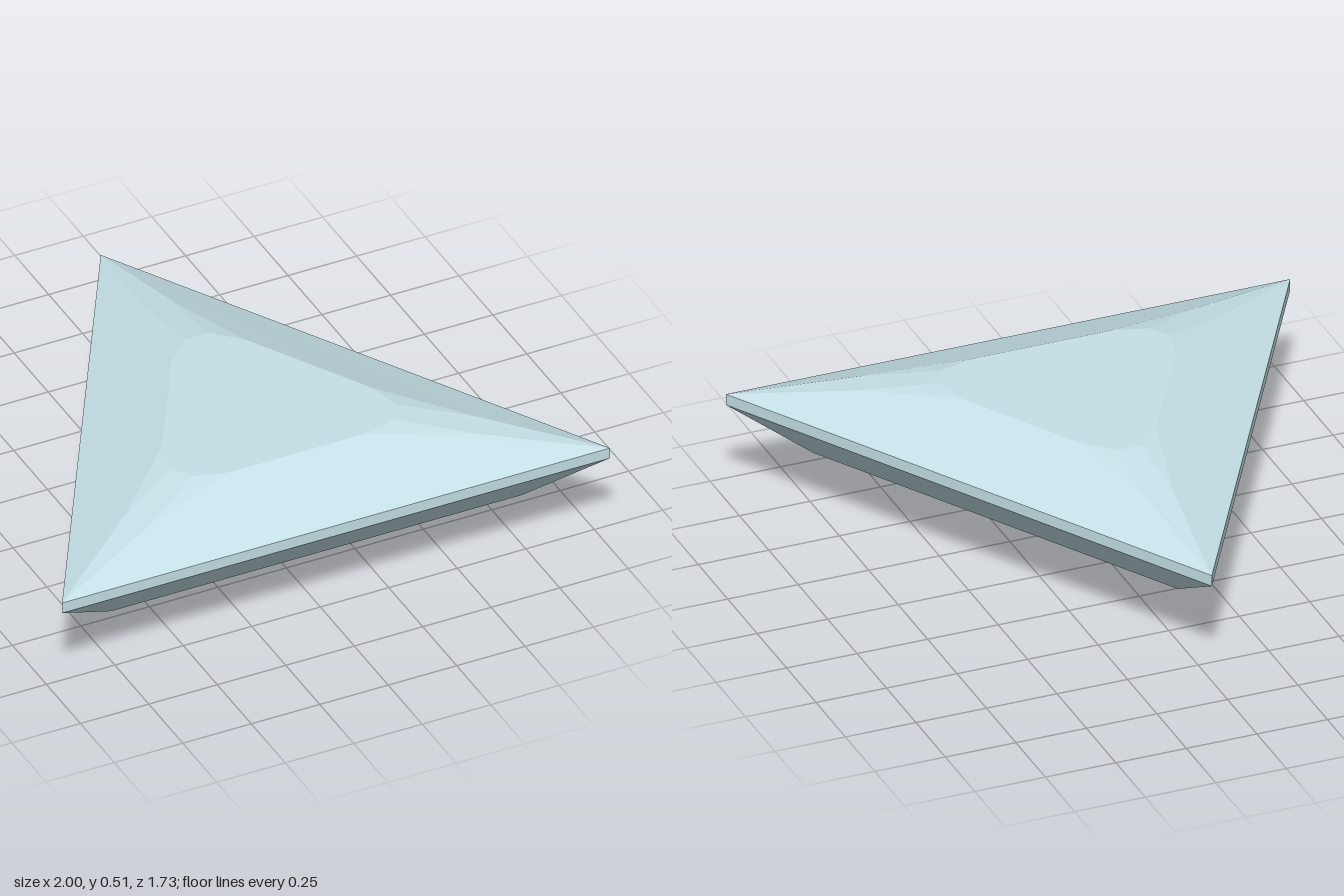
import * as THREE from 'three';

const CENTRE_Z = 0.288; // axis of the three-fold symmetry
const R = 1.155;        // corner radius of the girdle

// Point at radius r, angle in degrees from the front left corner, height y
function point(r, degrees, y) {
  const a = THREE.MathUtils.degToRad(30 + degrees);
  return new THREE.Vector3(r * Math.cos(a), y, CENTRE_Z + r * Math.sin(a));
}

// Fan each flat facet into triangles, turned to face away from the gem's middle
function facetMesh(name, facets, material) {
  const middle = new THREE.Vector3(0, 0.36, CENTRE_Z);
  const positions = [];
  for (const f of facets) {
    for (let i = 1; i < f.length - 1; i++) {
      const tri = new THREE.Triangle(f[0], f[i], f[i + 1]);
      const normal = tri.getNormal(new THREE.Vector3());
      const outward = tri.getMidpoint(new THREE.Vector3()).sub(middle);
      const order = normal.dot(outward) > 0 ? [tri.a, tri.b, tri.c] : [tri.a, tri.c, tri.b];
      order.forEach((v) => positions.push(v.x, v.y, v.z));
    }
  }
  const geometry = new THREE.BufferGeometry();
  geometry.setAttribute('position', new THREE.Float32BufferAttribute(positions, 3));
  geometry.computeVertexNormals();
  const mesh = new THREE.Mesh(geometry, material);
  mesh.name = name;
  return mesh;
}

export function createModel() {
  const material = new THREE.MeshStandardMaterial({ color: 0xc4e0e6, flatShading: true });
  const table = [], crown = [], girdle = [], pavilion = [];
  const apex = point(0, 0, 0.004);
  const tableOutline = [];

  for (let k = 0; k < 3; k++) {
    const at = (r, offset, y) => point(r, 120 * k + offset, y);

    // Crown points around this corner; s picks the side of the corner
    const corner = at(R, 0, 0.4);
    const nextCorner = at(R, 120, 0.4);
    const shoulder = (o, s) => at(0.72, o + 3.8 * s, 0.472);
    const tableTip = (o, s) => at(0.453, o + 5.3 * s, 0.515);
    const tableSide = (o, s) => at(0.388, o + 19.9 * s, 0.515);
    tableOutline.push(tableSide(0, -1), tableTip(0, -1), tableTip(0, 1), tableSide(0, 1));

    // Long side facet, corner facet and the two small star facets
    crown.push([corner, shoulder(0, 1), tableSide(0, 1), tableSide(120, -1), shoulder(120, -1), nextCorner]);
    crown.push([corner, shoulder(0, -1), tableTip(0, -1), tableTip(0, 1), shoulder(0, 1)]);
    for (const s of [-1, 1]) crown.push([shoulder(0, s), tableTip(0, s), tableSide(0, s)]);

    // Thin vertical girdle
    const low = at(R, 0, 0.36);
    const nextLow = at(R, 120, 0.36);
    girdle.push([corner, nextCorner, nextLow, low]);

    // Pavilion: upper step, lower step, corner kite and facets at the point
    const step = at(0.865, 0, 0.2);
    const nextStep = at(0.865, 120, 0.2);
    const kite = (o, s) => at(0.523, o + 6.2 * s, 0.12);
    const mid = at(0.235, 60, 0.071);
    pavilion.push([low, nextLow, nextStep, step]);
    pavilion.push([mid, kite(0, 1), step, nextStep, kite(120, -1)]);
    pavilion.push([apex, kite(0, -1), step, kite(0, 1)]);
    pavilion.push([apex, kite(0, 1), mid], [apex, mid, kite(120, -1)]);
  }
  table.push(tableOutline);

  const gem = new THREE.Group();
  gem.name = 'triangularGem';
  gem.add(
    facetMesh('table', table, material),
    facetMesh('crown', crown, material),
    facetMesh('girdle', girdle, material),
    facetMesh('pavilion', pavilion, material),
  );
  return gem;
}
